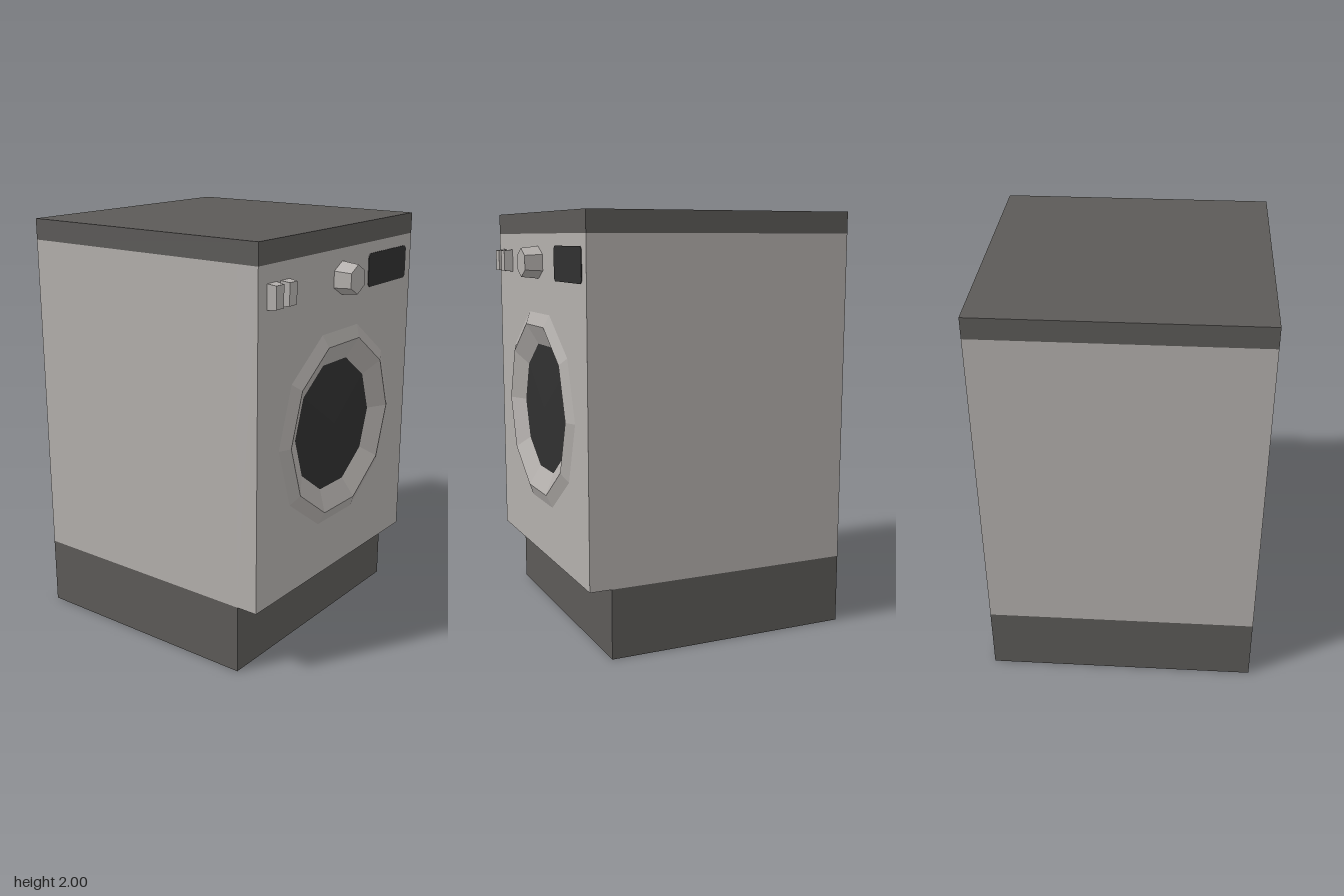
import * as THREE from 'three';

const BACK = -0.695, FRONT = 0.61, WIDTH = 1.3;

// Faceted copy of a geometry, so each side keeps a flat normal
function faceted(geometry) {
  const flat = geometry.index ? geometry.toNonIndexed() : geometry;
  flat.computeVertexNormals();
  return flat;
}

// Box given by its y and z limits, full cabinet width
function slab(y0, y1, z0, z1) {
  return new THREE.BoxGeometry(WIDTH, y1 - y0, z1 - z0)
    .translate(0, (y0 + y1) / 2, (z0 + z1) / 2);
}

// Ten-sided turned shape facing +z, from [radius, z] points
function turned(points) {
  const profile = points.map(([r, z]) => new THREE.Vector2(r, z));
  return faceted(new THREE.LatheGeometry(profile, 10, Math.PI / 2).rotateX(Math.PI / 2));
}

export function createModel() {
  const model = new THREE.Group();
  const paint = (name, color) => {
    const m = new THREE.MeshStandardMaterial({ color });
    m.name = name;
    return m;
  };
  const light = paint('light grey enamel', 0xb3afac);
  const dark = paint('dark grey trim', 0x5c5a58);
  const black = paint('black glass', 0x303030);
  const add = (name, geometry, material, x = 0, y = 0, z = 0) => {
    const mesh = new THREE.Mesh(geometry, material);
    mesh.name = name;
    mesh.position.set(x, y, z);
    model.add(mesh);
    return mesh;
  };

  // Plinth, set back at the front, with a black underside
  add('plinth', slab(0, 0.33, BACK, 0.505), [dark, dark, dark, black, dark, dark]);

  // Cabinet and worktop
  add('cabinet', slab(0.33, 1.9, BACK, 0.5), light);
  add('worktop', slab(1.9, 2, BACK, FRONT), dark);

  // Front panel with a round opening behind the door
  const doorY = 1.06;
  const panel = new THREE.Shape([
    new THREE.Vector2(-0.65, 0.33), new THREE.Vector2(0.65, 0.33),
    new THREE.Vector2(0.65, 1.9), new THREE.Vector2(-0.65, 1.9),
  ]);
  const opening = [];
  for (let i = 0; i < 10; i++) {
    const a = -i * Math.PI / 5;
    opening.push(new THREE.Vector2(0.41 * Math.cos(a), doorY + 0.41 * Math.sin(a)));
  }
  panel.holes.push(new THREE.Path(opening));
  add('frontPanel', new THREE.ExtrudeGeometry(panel, { depth: FRONT - 0.5, bevelEnabled: false }), light, 0, 0, 0.5);

  // Door: bevelled ring sloping in to a slightly domed window
  add('doorRing', turned([[0.487, FRONT], [0.425, 0.635], [0.322, 0.585]]), light, 0, doorY);
  add('doorWindow', turned([[0.322, 0.585], [0, 0.594]]), black, 0, doorY);

  // Hexagonal programme knob
  const knob = new THREE.CylinderGeometry(0.068, 0.077, 0.085, 6).rotateX(Math.PI / 2);
  add('programmeKnob', faceted(knob), light, 0, 1.765, FRONT + 0.0425);

  // Two tapered push buttons
  const button = new THREE.BoxGeometry(0.067, 0.112, 0.043);
  const p = button.attributes.position;
  for (let i = 0; i < p.count; i++) {
    if (p.getZ(i) > 0) p.setXY(i, p.getX(i) * 0.84, p.getY(i) * 0.9);
  }
  const buttonGeometry = faceted(button);
  for (const x of [-0.553, -0.456]) add('pushButton', buttonGeometry, light, x, 1.765, FRONT + 0.0215);

  // Display with clipped corners
  const w = 0.18, h = 0.08, c = 0.014;
  const screen = new THREE.Shape([
    [-w + c, -h], [w - c, -h], [w, -h + c], [w, h - c],
    [w - c, h], [-w + c, h], [-w, h - c], [-w, -h + c],
  ].map(([x, y]) => new THREE.Vector2(x, y)));
  add('display', new THREE.ExtrudeGeometry(screen, { depth: 0.003, bevelEnabled: false }), black, 0.417, 1.765, FRONT);

  return model;
}
